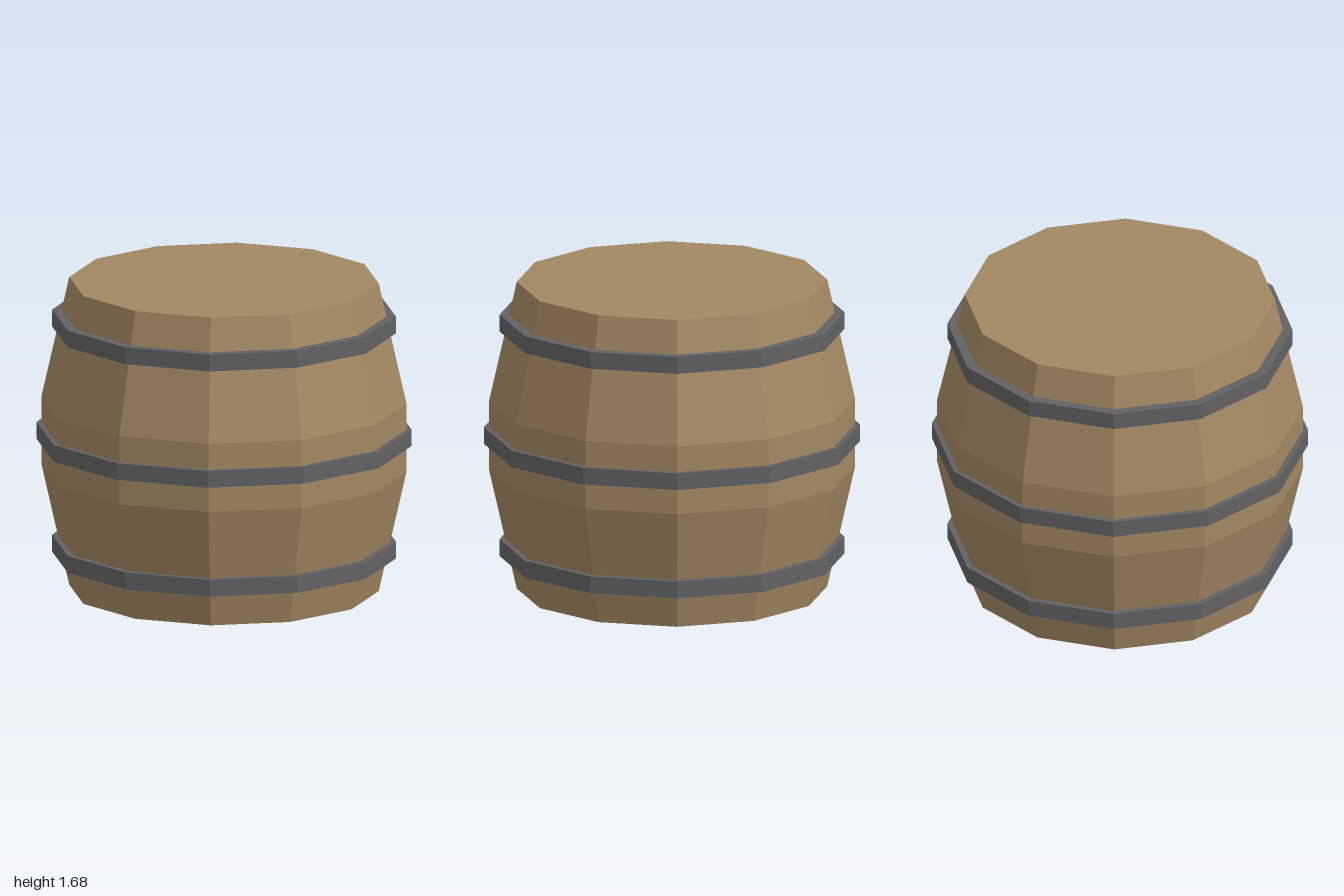
import * as THREE from 'three';

const SIDES = 12;
const END_RADIUS = 0.825;
const HEIGHT = 1.685;

// Twelve-sided turned shape with faceted normals
function facetedLathe(profile) {
  const points = profile.map(([r, y]) => new THREE.Vector2(r, y));
  const geometry = new THREE.LatheGeometry(points, SIDES).toNonIndexed();
  geometry.computeVertexNormals();
  return geometry;
}

export function createModel() {
  const wood = new THREE.MeshStandardMaterial({ color: 0xa38862 });
  wood.name = 'wood';
  const iron = new THREE.MeshStandardMaterial({ color: 0x626265 });
  iron.name = 'iron';

  const barrel = new THREE.Group();
  barrel.name = 'barrel';
  const add = (name, geometry, material) => {
    const mesh = new THREE.Mesh(geometry, material);
    mesh.name = name;
    barrel.add(mesh);
    return mesh;
  };

  // Bulging wall with a straight band round the middle
  add('staves', facetedLathe([
    [END_RADIUS, 0], [0.973, 0.657], [0.973, 1.03], [END_RADIUS, HEIGHT],
  ]), wood);

  // Flat ends
  const head = new THREE.CircleGeometry(END_RADIUS, SIDES);
  const top = add('topHead', head, wood);
  top.rotation.x = -Math.PI / 2;
  top.position.y = HEIGHT;
  const bottom = add('bottomHead', head, wood);
  bottom.rotation.x = Math.PI / 2;

  // Square-edged hoops, their inner edges sunk into the wall
  const hoops = [
    ['lowerHoop', 0.917, 0.18, 0.272],
    ['middleHoop', 1, 0.797, 0.888],
    ['upperHoop', 0.917, 1.413, 1.505],
  ];
  for (const [name, radius, y0, y1] of hoops) {
    const inner = radius - 0.07;
    add(name, facetedLathe([
      [inner, y0], [radius, y0], [radius, y1], [inner, y1],
    ]), iron);
  }

  return barrel;
}
